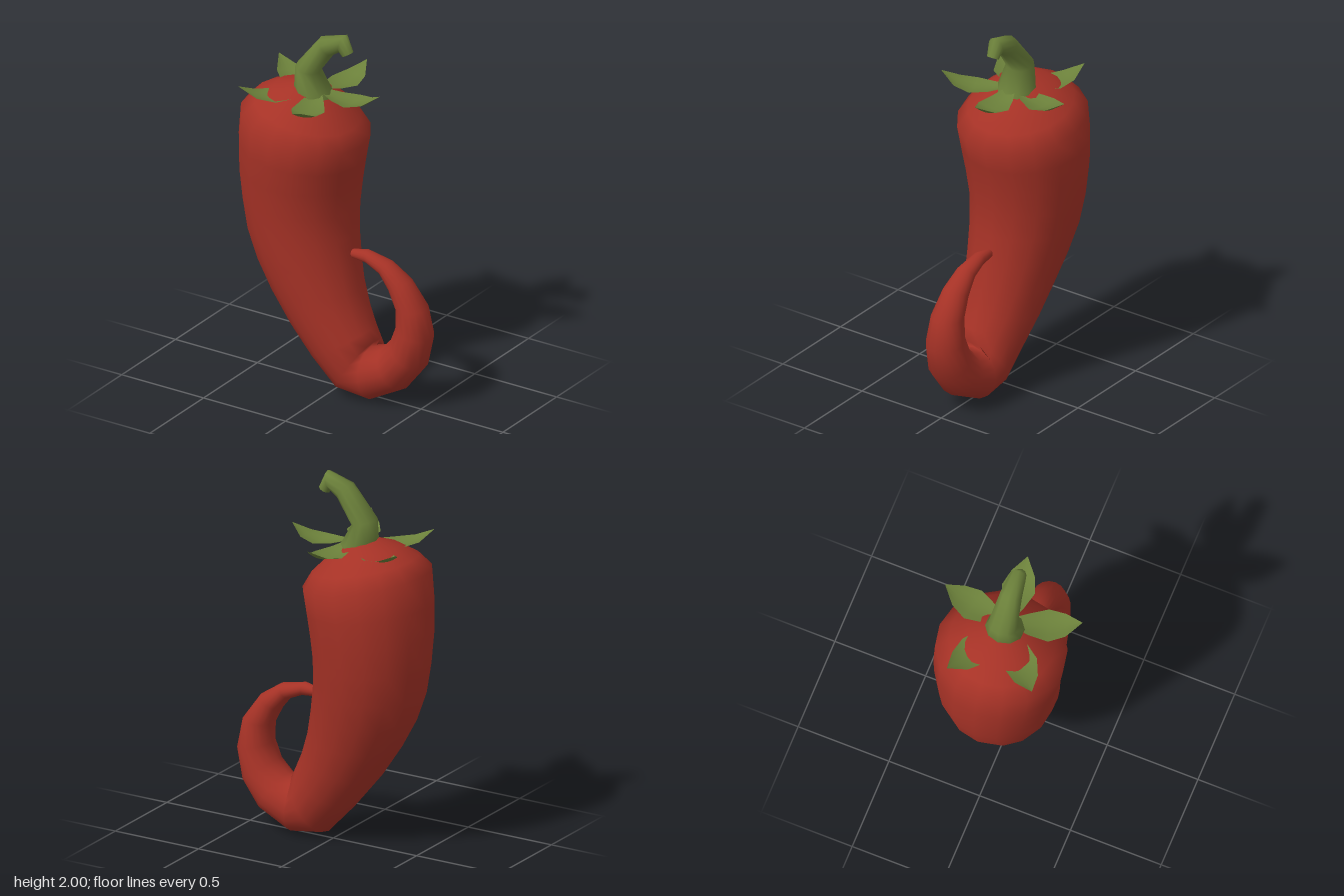
import * as THREE from 'three';

const red = new THREE.MeshStandardMaterial({ color: 0xa63226 });
red.name = 'pepperRed';
const green = new THREE.MeshStandardMaterial({ color: 0x6b803a, side: THREE.DoubleSide });
green.name = 'stalkGreen';

// Smooth geometry from a grid of points; wrap joins each row end to end
function grid(rows, wrap) {
  const n = rows[0].length, pos = rows.flat(2), index = [];
  for (let i = 0; i < rows.length - 1; i++) {
    for (let j = 0; j < (wrap ? n : n - 1); j++) {
      const k = (j + 1) % n;
      const a = i * n + j, b = i * n + k, c = a + n, d = b + n;
      index.push(a, b, c, b, d, c);
    }
  }
  const g = new THREE.BufferGeometry();
  g.setAttribute('position', new THREE.Float32BufferAttribute(pos, 3));
  g.setIndex(index);
  g.computeVertexNormals();
  return g;
}

// Elliptical ring spanning outer point (x1,y1) to inner point (x2,y2), half depth rz, depth offset zc
function ring([x1, y1, x2, y2, rz, zc = 0], sides) {
  return Array.from({ length: sides }, (_, j) => {
    const a = (j / sides) * Math.PI * 2, c = Math.cos(a) / 2;
    return [(x1 + x2) / 2 + (x2 - x1) * c, (y1 + y2) / 2 + (y2 - y1) * c, zc + rz * Math.sin(a)];
  });
}

function sweep(name, sections, sides, material) {
  const mesh = new THREE.Mesh(grid(sections.map((s) => ring(s, sides)), true), material);
  mesh.name = name;
  return mesh;
}

// Crown, body, then the curled tail
const crown = [
  [-0.18, 1.668, -0.18, 1.668, 0],
  [-0.26, 1.67, -0.10, 1.645, 0.08],
  [-0.37, 1.645, -0.02, 1.585, 0.18],
  [-0.47, 1.6, 0.085, 1.475, 0.275],
];
const body = [
  [-0.54, 1.53, 0.13, 1.39, 0.34, 0],
  [-0.558, 1.36, 0.105, 1.27, 0.335, -0.005],
  [-0.562, 1.2, 0.085, 1.15, 0.32, -0.01],
  [-0.55, 1.03, 0.07, 1.01, 0.298, -0.012],
  [-0.52, 0.86, 0.075, 0.87, 0.28, -0.005],
  [-0.46, 0.7, 0.1, 0.72, 0.255, 0.005],
  [-0.37, 0.54, 0.13, 0.58, 0.23, 0.015],
  [-0.25, 0.36, 0.17, 0.46, 0.205, 0.02],
  [-0.11, 0.19, 0.205, 0.385, 0.185, 0.025],
  [0.04, 0.03, 0.23, 0.325, 0.165, 0.02],
];
const tail = [
  [0.23, 0.005, 0.2, 0.285, 0.148, 0.01],
  [0.41, 0.1, 0.275, 0.305, 0.135],
  [0.52, 0.24, 0.335, 0.37, 0.12],
  [0.56, 0.41, 0.365, 0.455, 0.105],
  [0.53, 0.57, 0.36, 0.56, 0.088],
  [0.43, 0.71, 0.315, 0.645, 0.07],
  [0.31, 0.79, 0.26, 0.715, 0.053],
  [0.17, 0.82, 0.18, 0.75, 0.038],
  [0.07, 0.8, 0.085, 0.757, 0.022],
  [0.06, 0.775, 0.06, 0.775, 0],
];

// Stem from its cut tip down to the base; the tip ring is doubled to keep the cut crisp
const stem = [
  [0.052, 1.895, 0.052, 1.895, 0],
  [0.08, 1.91, 0.025, 1.88, 0.032],
  [0.08, 1.91, 0.025, 1.88, 0.032],
  [0.035, 2.0, 0.01, 1.9, 0.045],
  [-0.11, 1.955, -0.035, 1.87, 0.058],
  [-0.25, 1.78, -0.125, 1.745, 0.078],
  [-0.255, 1.67, -0.06, 1.635, 0.102],
  [-0.25, 1.6, -0.05, 1.57, 0.105],
];

// Cupped leaf from the stem base to its tip: [fraction of length, half width, height]
const leafRows = [
  [0.1, 0.03, 1.645],
  [0.3, 0.06, 1.622],
  [0.55, 0.088, 1.61],
  [0.78, 0.062, 1.63],
  [1, 0, 1.69],
];
function leaf(tipX, tipZ) {
  const cx = -0.13, dx = tipX - cx, dz = tipZ, len = Math.hypot(dx, dz);
  const rows = leafRows.map(([t, w, y]) =>
    [-1, -0.5, 0, 0.5, 1].map((s) => [
      cx + dx * t - (dz / len) * w * s,
      y + 0.2 * w * s * s,
      dz * t + (dx / len) * w * s,
    ]));
  const mesh = new THREE.Mesh(grid(rows, false), green);
  mesh.name = 'leaf';
  return mesh;
}

export function createModel() {
  const model = new THREE.Group();
  model.name = 'chiliPepper';
  model.add(sweep('pepperBody', [...crown, ...body, ...tail], 16, red));
  model.add(sweep('stem', stem, 10, green));

  const leaves = new THREE.Group();
  leaves.name = 'leaves';
  for (const [x, z] of [[-0.07, -0.365], [0.23, -0.03], [0, 0.365], [-0.445, 0.265], [-0.49, -0.185]]) {
    leaves.add(leaf(x, z));
  }
  model.add(leaves);
  return model;
}
